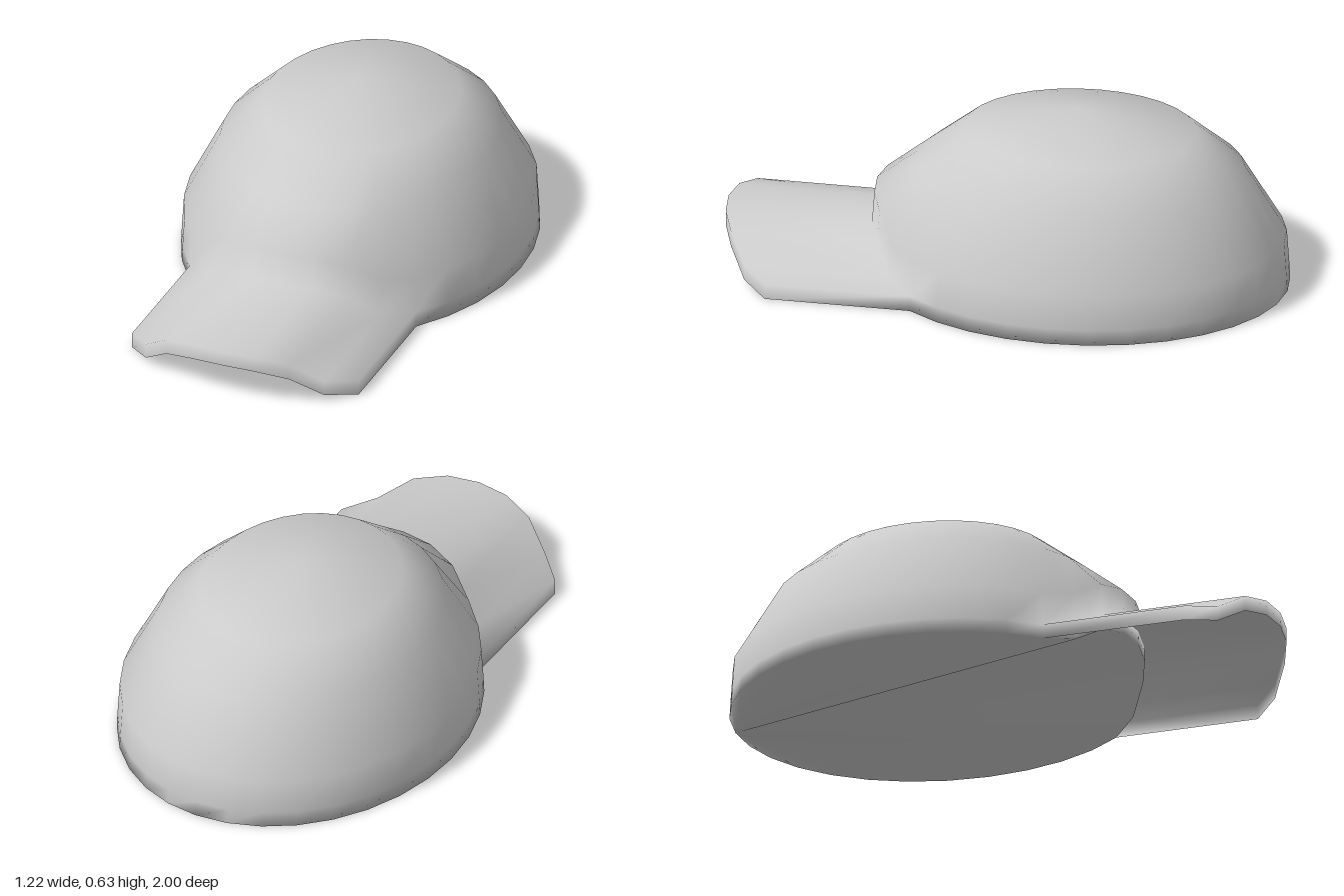
import * as THREE from 'three';

const SIDES = 32, CENTRE_Z = -0.26, RX = 0.61, RZ = 0.74;
const HALF = 4;            // visor spans 4 segments on either side of the middle
const REACH = 0.52;        // how far the visor stands out from the crown
const ARCH_TOP = [0.19, 0.185, 0.158, 0.08, 0.055];
const ARCH_BOTTOM = [0.137, 0.13, 0.102, 0.026, 0];

export function createModel() {
  const points = [];
  const faces = { crown: [], visor: [], underside: [] };

  // Point on the head oval at segment k, scaled by s
  const add = (k, s, y, dz = 0) => {
    const a = (k / SIDES) * Math.PI * 2;
    points.push(RX * s * Math.sin(a), y, CENTRE_Z + RZ * s * Math.cos(a) + dz);
    return points.length / 3 - 1;
  };
  const quad = (part, a, b, c, d) => faces[part].push(a, b, c, a, c, d);
  const wrap = (k) => (k + SIDES) % SIDES;
  const off = (k) => Math.min(Math.abs(k), SIDES - Math.abs(k), HALF); // segments from the middle

  // Rings of the crown: a narrow rim band that arches at the front, then the dome
  const ring = (s, height) => Array.from({ length: SIDES }, (_, k) => add(k, s, height(off(k))));
  const rings = [
    ring(1, (d) => ARCH_BOTTOM[d]),
    ring(0.996, (d) => ARCH_TOP[d]),
    ring(0.984, (d) => 0.183 + (ARCH_TOP[d] - 0.055) * 0.93),
    ring(0.784, () => 0.425),
    ring(0.555, () => 0.56),
  ];
  const tip = add(0, 0, 0.635);

  // Crown
  for (let k = 0; k < SIDES; k++) {
    const n = wrap(k + 1);
    for (let r = 0; r < 4; r++) {
      quad('crown', rings[r][k], rings[r][n], rings[r + 1][n], rings[r + 1][k]);
    }
    faces.crown.push(rings[4][k], rings[4][n], tip);
  }

  // Visor: arched sheet with a lip along the front and the two sides, open below
  const top = [], bottom = [];
  for (let k = -HALF; k <= HALF; k++) {
    top.push(add(k, 1, ARCH_TOP[off(k)], REACH));
    bottom.push(add(k, 1, ARCH_BOTTOM[off(k)], REACH));
  }
  const last = 2 * HALF;
  for (let i = 0; i < last; i++) {
    const k = wrap(i - HALF), n = wrap(i + 1 - HALF);
    quad('visor', top[i], top[i + 1], rings[1][n], rings[1][k]);
    quad('visor', bottom[i], bottom[i + 1], top[i + 1], top[i]);
  }
  const left = HALF, right = SIDES - HALF;
  quad('visor', bottom[last], rings[0][left], rings[1][left], top[last]);
  quad('visor', rings[0][right], bottom[0], top[0], rings[1][right]);

  // Underside: fan from the middle of the back to the rim of the crown
  const back = SIDES / 2;
  for (let i = 1; i < SIDES - 1; i++) {
    const k = (back + i) % SIDES;
    faces.underside.push(rings[0][back], rings[0][wrap(k + 1)], rings[0][k]);
  }

  // Normals are shared by all parts so the shading runs smoothly across the seams
  const whole = new THREE.BufferGeometry();
  whole.setAttribute('position', new THREE.Float32BufferAttribute(points, 3));
  whole.setIndex(Object.values(faces).flat());
  whole.computeVertexNormals();

  const group = new THREE.Group();
  group.name = 'cap';
  const material = new THREE.MeshStandardMaterial({ color: 0xcccccc, side: THREE.DoubleSide });
  for (const [name, index] of Object.entries(faces)) {
    const geometry = new THREE.BufferGeometry();
    geometry.setAttribute('position', whole.attributes.position);
    geometry.setAttribute('normal', whole.attributes.normal);
    geometry.setIndex(index);
    const mesh = new THREE.Mesh(geometry, material);
    mesh.name = name;
    group.add(mesh);
  }
  return group;
}
